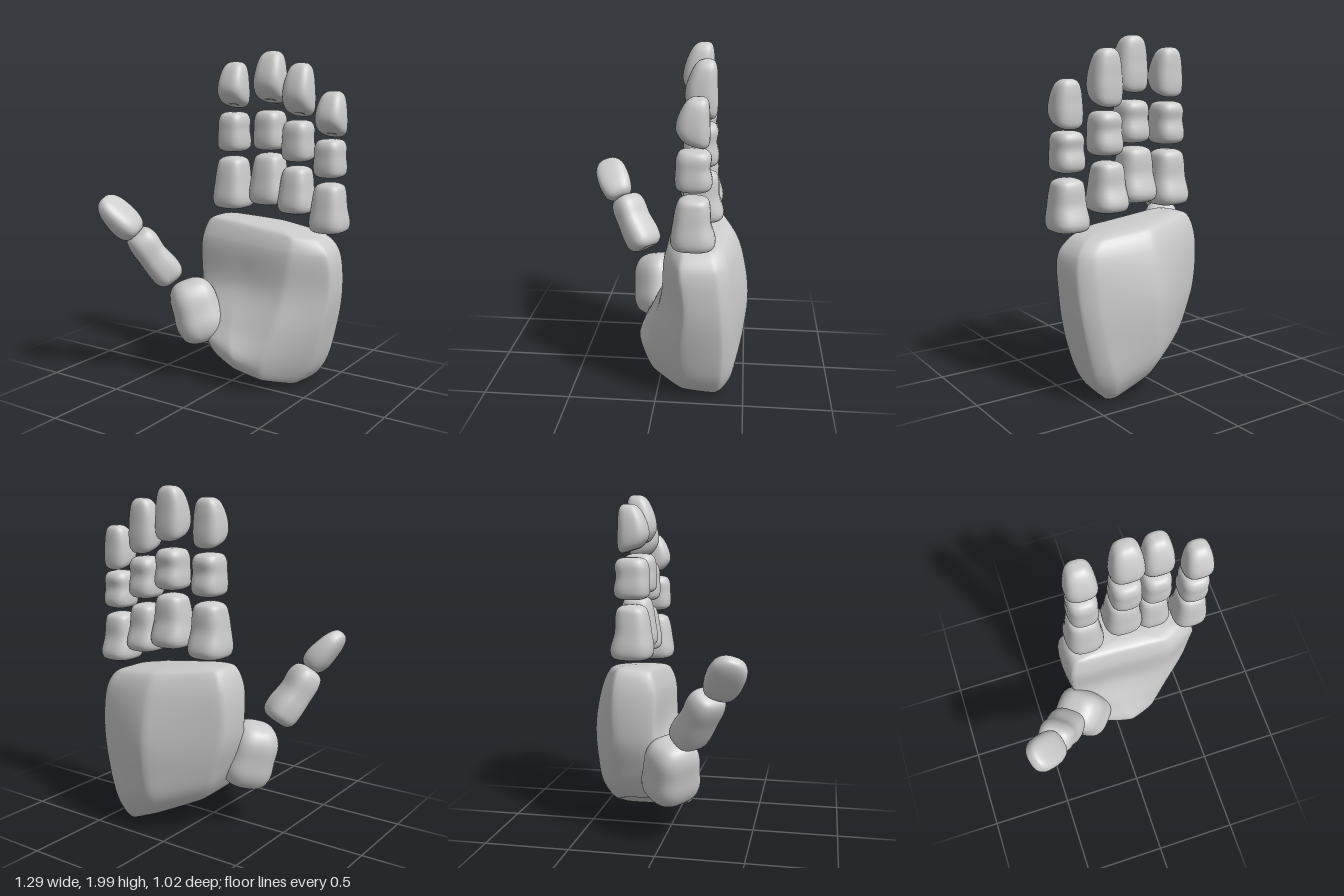
import * as THREE from 'three';
import { mergeVertices } from 'three/addons/utils/BufferGeometryUtils.js';

const material = new THREE.MeshStandardMaterial({ color: 0xcccccc });
const V = (x, y, z) => new THREE.Vector3(x, y, z);

// Smooth skin through closed rings of equal length, ordered bottom to top
function loft(rings, steps) {
  const n = rings[0].length;
  const columns = [];
  for (let i = 0; i < n; i++) {
    columns.push(new THREE.CatmullRomCurve3(rings.map((r) => r[i])).getPoints(steps));
  }
  const positions = [];
  const index = [];
  for (const c of columns) for (const p of c) positions.push(p.x, p.y, p.z);
  for (let i = 0; i < n; i++) {
    const a = i * (steps + 1);
    const b = ((i + 1) % n) * (steps + 1);
    for (let j = 0; j < steps; j++) {
      index.push(a + j, a + j + 1, b + j, b + j, a + j + 1, b + j + 1);
    }
  }
  const geometry = new THREE.BufferGeometry();
  geometry.setAttribute('position', new THREE.Float32BufferAttribute(positions, 3));
  geometry.setIndex(index);
  const merged = mergeVertices(geometry, 1e-5);
  merged.computeVertexNormals();
  return merged;
}

function part(name, geometry) {
  const mesh = new THREE.Mesh(geometry, material);
  mesh.name = name;
  return mesh;
}

// Bone profiles: [fraction of length, width scale, depth scale, depth shift]
const PROFILES = {
  proximal: [[0.01, 0, 0, 0], [0.0, 0.6, 0.6, 0], [0.05, 0.9, 0.9, 0], [0.17, 1, 1, 0], [0.5, 0.9, 0.84, 0.06],
    [0.78, 0.81, 0.77, 0.02], [0.92, 0.71, 0.66, 0], [0.985, 0.42, 0.42, 0], [1, 0, 0, 0]],
  middle: [[0.01, 0, 0, 0], [0, 0.6, 0.6, 0], [0.08, 0.92, 0.9, 0], [0.25, 1, 0.98, 0], [0.55, 0.95, 0.9, 0.05],
    [0.8, 0.93, 0.92, 0], [0.94, 0.76, 0.76, 0], [0.99, 0.45, 0.45, 0], [1, 0, 0, 0]],
  distal: [[0.03, 0, 0, -0.1], [0, 0.6, 0.55, -0.12], [0.08, 0.9, 0.82, -0.08], [0.25, 1, 0.98, 0], [0.5, 0.97, 0.95, 0],
    [0.75, 0.85, 0.8, -0.12], [0.9, 0.68, 0.62, -0.22], [0.98, 0.4, 0.38, -0.28], [1, 0, 0, -0.3]],
  thumbBase: [[0.01, 0, 0, 0], [0, 0.55, 0.55, 0], [0.08, 0.86, 0.86, 0], [0.25, 1, 1, 0], [0.5, 0.96, 0.96, 0],
    [0.77, 0.89, 0.9, 0], [0.92, 0.68, 0.7, 0], [0.985, 0.38, 0.4, 0], [1, 0, 0, 0]],
  thumbTip: [[0.01, 0, 0, 0], [0, 0.5, 0.5, 0], [0.08, 0.78, 0.85, 0], [0.25, 0.95, 1, 0], [0.5, 1, 0.94, 0],
    [0.75, 0.92, 0.78, 0], [0.9, 0.7, 0.58, 0], [0.98, 0.38, 0.34, 0], [1, 0, 0, 0]],
};

// One rounded-square bone running from one point to another
function bone(name, kind, from, to, halfWidth, halfDepth, widthHint = V(1, 0, 0)) {
  const axis = to.clone().sub(from);
  const length = axis.length();
  axis.normalize();
  const across = widthHint.clone().addScaledVector(axis, -widthHint.dot(axis)).normalize();
  const basis = new THREE.Matrix4().makeBasis(across, axis, across.clone().cross(axis));
  basis.setPosition(from);
  const slant = kind === 'distal' ? 0.3 : 0;
  const soft = (v) => Math.sign(v) * Math.abs(v) ** 0.72;
  const rings = PROFILES[kind].map(([t, w, d, shift]) => {
    const ring = [];
    for (let i = 0; i < 32; i++) {
      const a = (i / 32) * Math.PI * 2;
      const z = halfDepth * (d * soft(Math.sin(a)) + shift);
      const y = t * length + slant * z * Math.max(0, 1 - t * 2);
      ring.push(V(halfWidth * w * soft(Math.cos(a)), y, z).applyMatrix4(basis));
    }
    return ring;
  });
  return part(name, loft(rings, 32));
}

// Palm cross-sections: height at x = 0.15, slope along x, then x/z outline
const PALM = [
  [0.10, -0.42, [-0.07, 0.07, 0.08, 0.10, 0.23, 0.03, 0.35, -0.14, 0.37, -0.33, 0.33, -0.37, 0.14, -0.38, -0.10, -0.25]],
  [0.20, -0.32, [-0.13, 0.09, 0.08, 0.14, 0.25, 0.07, 0.44, -0.15, 0.45, -0.36, 0.37, -0.43, 0.12, -0.46, -0.17, -0.28]],
  [0.38, -0.1, [-0.20, 0.02, 0.03, 0.07, 0.30, 0.04, 0.52, -0.14, 0.52, -0.37, 0.43, -0.44, 0.13, -0.50, -0.21, -0.30]],
  [0.60, 0, [-0.25, -0.05, 0.05, -0.03, 0.34, -0.02, 0.57, -0.16, 0.56, -0.36, 0.47, -0.43, 0.13, -0.51, -0.265, -0.30]],
  [0.85, -0.06, [-0.25, -0.05, 0.07, -0.04, 0.37, -0.04, 0.56, -0.14, 0.55, -0.33, 0.47, -0.40, 0.13, -0.46, -0.265, -0.30]],
  [0.945, -0.12, [-0.21, -0.08, 0.09, -0.07, 0.36, -0.07, 0.50, -0.15, 0.50, -0.31, 0.42, -0.37, 0.13, -0.41, -0.22, -0.28]],
];

function palm() {
  const section = ([height, slope, outline], scale = 1, lift = 0) => {
    const points = [];
    for (let i = 0; i < outline.length; i += 2) {
      const x = 0.15 + (outline[i] - 0.15) * scale;
      const z = -0.18 + (outline[i + 1] + 0.18) * scale;
      points.unshift(V(x, height + slope * (x - 0.15) + lift, z));
    }
    // low tension keeps the long ridges of the palm
    const curve = new THREE.CatmullRomCurve3(points, true, 'catmullrom', 0.2);
    return Array.from({ length: 64 }, (_, i) => curve.getPoint(i / 64));
  };
  const bottom = PALM[0];
  const top = PALM[PALM.length - 1];
  const rings = [
    section(bottom, 0, 0.03), section(bottom, 0.5, 0.02), section(bottom, 0.85, 0),
    ...PALM.map((s) => section(s)),
    section(top, 0.85, 0.022), section(top, 0.5, 0.035), section(top, 0, 0.04),
  ];
  return part('palm', loft(rings, 66));
}

// Fingers: bones as [x, z, bottom, top, half width, half depth]
const FINGERS = {
  index: [[-0.125, -0.21, 1.05, 1.37, 0.115, 0.125], [-0.12, -0.21, 1.4, 1.64, 0.09, 0.105], [-0.12, -0.2, 1.68, 1.94, 0.09, 0.09]],
  middle: [[0.12, -0.235, 1.09, 1.4, 0.115, 0.12], [0.13, -0.22, 1.42, 1.655, 0.092, 0.102], [0.133, -0.21, 1.71, 2.0, 0.094, 0.09]],
  ring: [[0.305, -0.245, 1.05, 1.33, 0.105, 0.12], [0.313, -0.235, 1.36, 1.6, 0.09, 0.1], [0.312, -0.235, 1.635, 1.93, 0.09, 0.09]],
  little: [[0.537, -0.21, 0.96, 1.25, 0.108, 0.12], [0.535, -0.21, 1.28, 1.5, 0.088, 0.1], [0.538, -0.205, 1.525, 1.77, 0.085, 0.09]],
};

export function createModel() {
  const hand = new THREE.Group();
  hand.name = 'hand';
  hand.add(palm());

  const kinds = ['proximal', 'middle', 'distal'];
  for (const [name, bones] of Object.entries(FINGERS)) {
    const finger = new THREE.Group();
    finger.name = `${name}Finger`;
    bones.forEach(([x, z, bottom, top, w, d], i) => {
      finger.add(bone(`${name}Finger${i + 1}`, kinds[i], V(x, bottom, z), V(x, top, z), w, d));
    });
    hand.add(finger);
  }

  // Thumb reaches outward and forward
  const thumb = new THREE.Group();
  thumb.name = 'thumb';
  thumb.add(
    bone('thumbBase', 'thumbBase', V(-0.18, 0.25, 0.025), V(-0.29, 0.62, 0.065), 0.16, 0.15, V(0.75, 0, 0.65)),
    bone('thumbMiddle', 'middle', V(-0.345, 0.63, 0.145), V(-0.485, 0.935, 0.31), 0.115, 0.1, V(0.8, 0, 0.6)),
    bone('thumbTip', 'thumbTip', V(-0.46, 0.93, 0.335), V(-0.62, 1.145, 0.445), 0.105, 0.075, V(0, 0, 1)),
  );
  hand.add(thumb);
  return hand;
}
